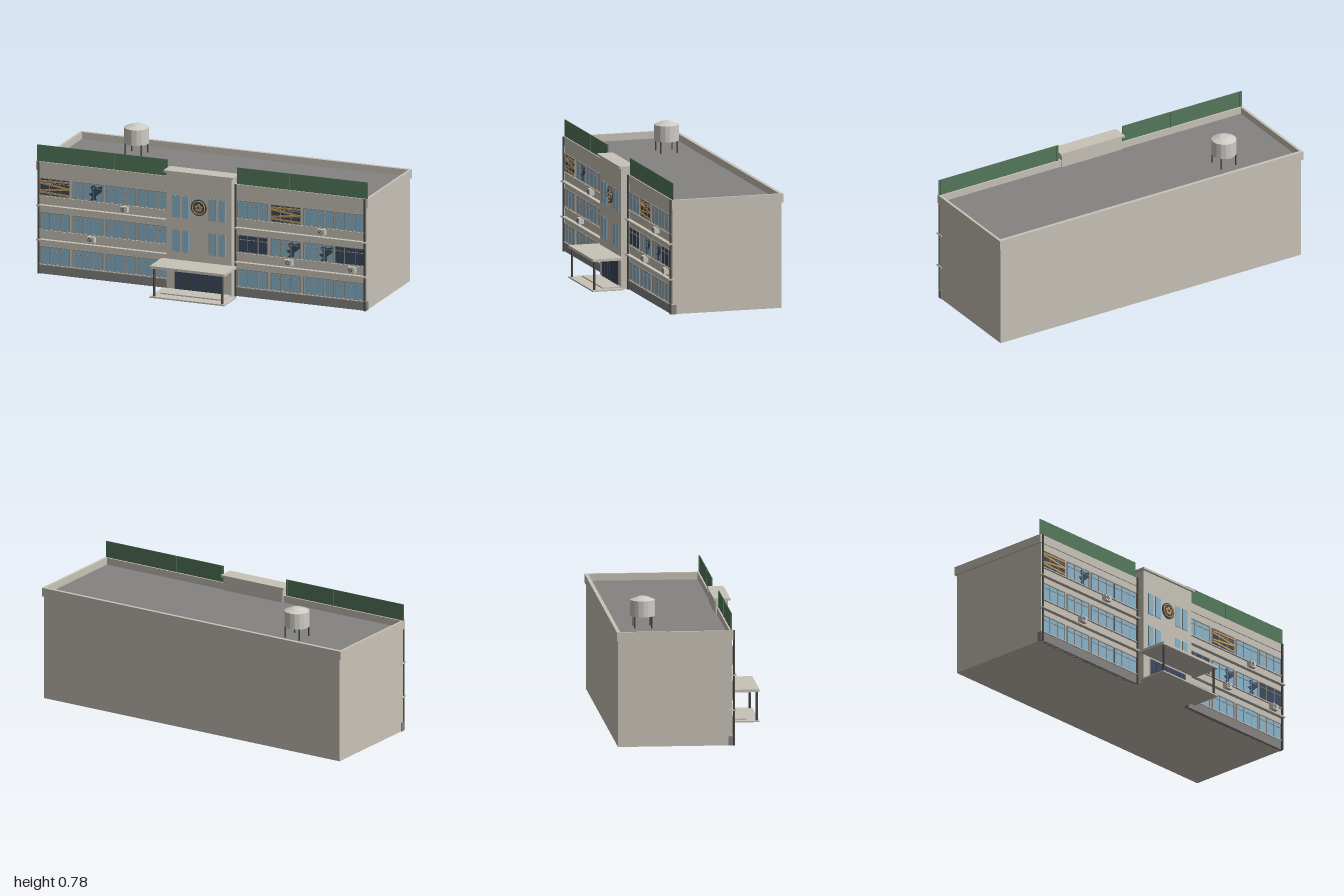
import * as THREE from 'three';

const mat = (name, color) => {
  const m = new THREE.MeshStandardMaterial({ color });
  m.name = name;
  return m;
};

export function createModel() {
  const wall = mat('wall beige', 0xc9c3b8);
  const roofGrey = mat('roof grey', 0x848382);
  const green = mat('fence green', 0x55795c);
  const glass = mat('glass blue', 0x8ab4cb);
  const dark = mat('dark glass', 0x3b4a60);
  const frameMat = mat('frame grey', 0x9b958a);
  const wood = mat('wood tan', 0xc29a5c);
  const metal = mat('dark metal', 0x4c4b49);
  const pale = mat('pale grey', 0xcfccc5);

  const root = new THREE.Group();
  root.name = 'schoolBuilding';

  const add = (parent, name, geo, material, x = 0, y = 0, z = 0) => {
    const m = new THREE.Mesh(geo, material);
    m.name = name;
    m.position.set(x, y, z);
    parent.add(m);
    return m;
  };
  // Box given by its low and high limits on each axis
  const box = (parent, name, material, x0, x1, y0, y1, z0, z1) =>
    add(parent, name, new THREE.BoxGeometry(x1 - x0, y1 - y0, z1 - z0), material,
      (x0 + x1) / 2, (y0 + y1) / 2, (z0 + z1) / 2);
  const group = (name, x = 0, y = 0, z = 0) => {
    const g = new THREE.Group();
    g.name = name;
    g.position.set(x, y, z);
    root.add(g);
    return g;
  };

  // Main block, roof deck and parapet
  const F = 0.212;
  box(root, 'mainBlock', wall, -0.99, 0.99, 0, 0.604, -0.428, F);
  box(root, 'roofDeck', roofGrey, -0.985, 0.985, 0.604, 0.61, -0.418, 0.2);
  const parapet = group('parapet');
  box(parapet, 'parapetBack', wall, -1, 1, 0.6, 0.65, -0.435, -0.415);
  box(parapet, 'parapetFront', wall, -1, 1, 0.6, 0.65, 0.198, 0.218);
  for (const s of [-1, 1]) {
    add(parapet, 'parapetSide', new THREE.BoxGeometry(0.015, 0.05, 0.613), wall, s * 0.9925, 0.625, -0.1085);
  }

  // Window plate with frame bars; kind: clear, dark, broken or boarded
  const W = 0.18, H = 0.1;
  const shardShape = new THREE.Shape([
    [0.01, -0.048], [0.05, -0.045], [0.048, -0.02], [0.085, 0.01], [0.085, 0.042], [0.05, 0.03],
    [0.035, 0.045], [0.012, 0.028], [0.028, 0.0], [0.002, -0.012], [0.026, -0.03],
  ].map((p) => new THREE.Vector2(...p)));
  const shardGeo = new THREE.ShapeGeometry(shardShape);
  function makeWindow(x, y, kind) {
    const g = group(kind + 'Window', x, y, F);
    const isDark = kind === 'dark' || kind === 'boarded';
    box(g, 'pane', isDark ? dark : glass, -W / 2, W / 2, -H / 2, H / 2, 0, 0.002);
    for (const s of [-1, 1]) {
      box(g, 'frameSide', frameMat, s * W / 2 - 0.003, s * W / 2 + 0.003, -H / 2, H / 2, 0, 0.006);
      box(g, 'frameRail', frameMat, -W / 2, W / 2, s * H / 2 - 0.0025, s * H / 2 + 0.0025, 0, 0.006);
      box(g, 'mullion', frameMat, s * 0.032 - 0.002, s * 0.032 + 0.002, -H / 2, H / 2, 0, 0.005);
    }
    box(g, 'transom', frameMat, -W / 2, W / 2, 0.022, 0.025, 0, 0.005);
    box(g, 'sill', wall, -W / 2 - 0.006, W / 2 + 0.006, -H / 2 - 0.006, -H / 2 - 0.001, 0, 0.012);
    if (kind === 'broken') add(g, 'brokenGlass', shardGeo, dark, 0, 0, 0.0035);
    if (kind === 'boarded') {
      [[0.036, 0.02], [0.012, -0.12], [-0.01, 0.1], [-0.034, -0.05]].forEach(([py, a]) => {
        const plank = add(g, 'plank', new THREE.BoxGeometry(0.176, 0.01, 0.004), wood, 0, py, 0.007);
        plank.rotation.z = a;
      });
    }
  }
  const columns = [-0.888, -0.688, -0.489, -0.296, 0.305, 0.506, 0.704, 0.893];
  const kinds = { // keyed by floor and column
    '2,0': 'boarded', '2,1': 'broken', '2,5': 'boarded',
    '1,4': 'dark', '1,5': 'broken', '1,6': 'broken', '1,7': 'dark',
  };
  [0.108, 0.307, 0.505].forEach((y, floor) => columns.forEach((x, i) =>
    makeWindow(x, y, kinds[floor + ',' + i] || 'clear')));

  // Parts repeated on each wing
  for (const s of [-1, 1]) {
    const wing = group('wingTrim');
    const span = (name, material, a, b, y0, y1, z0, z1) =>
      box(wing, name, material, Math.min(s * a, s * b), Math.max(s * a, s * b), y0, y1, z0, z1);
    span('plinth', roofGrey, 0.19, 0.994, 0, 0.052, 0.19, 0.217);
    for (const y of [0.198, 0.398]) span('ledge', wall, 0.195, 0.995, y - 0.004, y + 0.004, 0.19, 0.236);
    for (const x of [0.206, 0.985]) {
      add(wing, 'drainPipe', new THREE.CylinderGeometry(0.006, 0.006, 0.65, 8), metal, s * x, 0.325, 0.222);
    }
    // Rooftop fence panels
    span('fencePanel', green, 0.21, 0.527, 0.65, 0.745, 0.207, 0.211);
    span('fencePanel', green, 0.529, 0.998, 0.65, 0.745, 0.207, 0.211);
    for (const x of [0.22, 0.528, 0.985]) span('fencePost', green, x - 0.003, x + 0.003, 0.61, 0.743, 0.203, 0.207);
  }

  // Air conditioning units
  for (const [x, y] of [[-0.465, 0.432], [-0.663, 0.233], [0.727, 0.432], [0.53, 0.233], [0.91, 0.233]]) {
    const ac = group('airConditioner', x, y, 0.227);
    box(ac, 'acCase', pale, -0.022, 0.022, -0.017, 0.017, -0.015, 0.014);
    add(ac, 'acGrille', new THREE.TorusGeometry(0.01, 0.002, 5, 16), metal, -0.006, 0, 0.014);
    box(ac, 'acFanHub', metal, -0.009, -0.003, -0.003, 0.003, 0.014, 0.016);
  }

  // Central entrance tower with tall windows
  const tower = group('entranceTower');
  box(tower, 'towerBody', wall, -0.197, 0.197, 0, 0.69, 0.19, 0.26);
  box(tower, 'towerCap', wall, -0.21, 0.21, 0.688, 0.7, 0.18, 0.273);
  for (const x of [-0.14, -0.081, 0.081, 0.14]) {
    for (const y of [0.296, 0.495]) {
      box(tower, 'tallWindowFrame', frameMat, x - 0.022, x + 0.022, y - 0.063, y + 0.063, 0.26, 0.262);
      box(tower, 'tallWindow', glass, x - 0.02, x + 0.02, y - 0.061, y + 0.061, 0.26, 0.264);
    }
  }

  // Round flower emblem
  const emblem = group('emblem', 0, 0.502, 0.26);
  const disc = (name, r, depth, material, x = 0, y = 0) => {
    const d = add(emblem, name, new THREE.CylinderGeometry(r, r, depth, 24), material, x, y, depth / 2);
    d.rotation.x = Math.PI / 2;
  };
  disc('emblemDisc', 0.047, 0.007, dark);
  add(emblem, 'emblemRing', new THREE.TorusGeometry(0.037, 0.0035, 6, 32), wood, 0, 0, 0.007);
  for (let i = 0; i < 5; i++) {
    const a = Math.PI / 2 + i * Math.PI * 0.4;
    disc('petal', 0.009, 0.01, wood, 0.015 * Math.cos(a), 0.015 * Math.sin(a));
  }
  disc('flowerCentre', 0.006, 0.012, dark);

  // Entrance doors
  const doors = group('entranceDoors');
  box(doors, 'doorFrame', frameMat, -0.15, 0.15, 0.015, 0.163, 0.26, 0.2615);
  box(doors, 'doorGlass', dark, -0.145, 0.145, 0.015, 0.158, 0.26, 0.263);
  for (let i = -2; i <= 2; i++) {
    box(doors, 'doorBar', metal, i * 0.0483 - 0.001, i * 0.0483 + 0.001, 0.015, 0.158, 0.26, 0.265);
  }

  // Porch canopy, columns and steps
  const porch = group('porch');
  box(porch, 'canopy', wall, -0.226, 0.226, 0.17, 0.185, 0.258, 0.435);
  box(porch, 'lowerStep', wall, -0.226, 0.226, 0, 0.008, 0.258, 0.435);
  box(porch, 'upperStep', wall, -0.19, 0.19, 0.008, 0.015, 0.258, 0.366);
  for (const x of [-0.205, 0.205]) {
    add(porch, 'porchColumn', new THREE.CylinderGeometry(0.007, 0.007, 0.164, 10), metal, x, 0.089, 0.42);
  }

  // Water tank on legs
  const tank = group('waterTank', -0.59, 0, -0.255);
  const profile = [[0, 0.675], [0.07, 0.675], [0.07, 0.766], [0.025, 0.784], [0, 0.784]];
  const tankGeo = new THREE.LatheGeometry(profile.map((p) => new THREE.Vector2(...p)), 16).toNonIndexed();
  tankGeo.computeVertexNormals();
  add(tank, 'tankBody', tankGeo, pale);
  for (const x of [-0.048, 0.048]) {
    for (const z of [-0.048, 0.048]) {
      add(tank, 'tankLeg', new THREE.CylinderGeometry(0.004, 0.004, 0.07, 6), metal, x, 0.642, z);
    }
  }
  return root;
}
